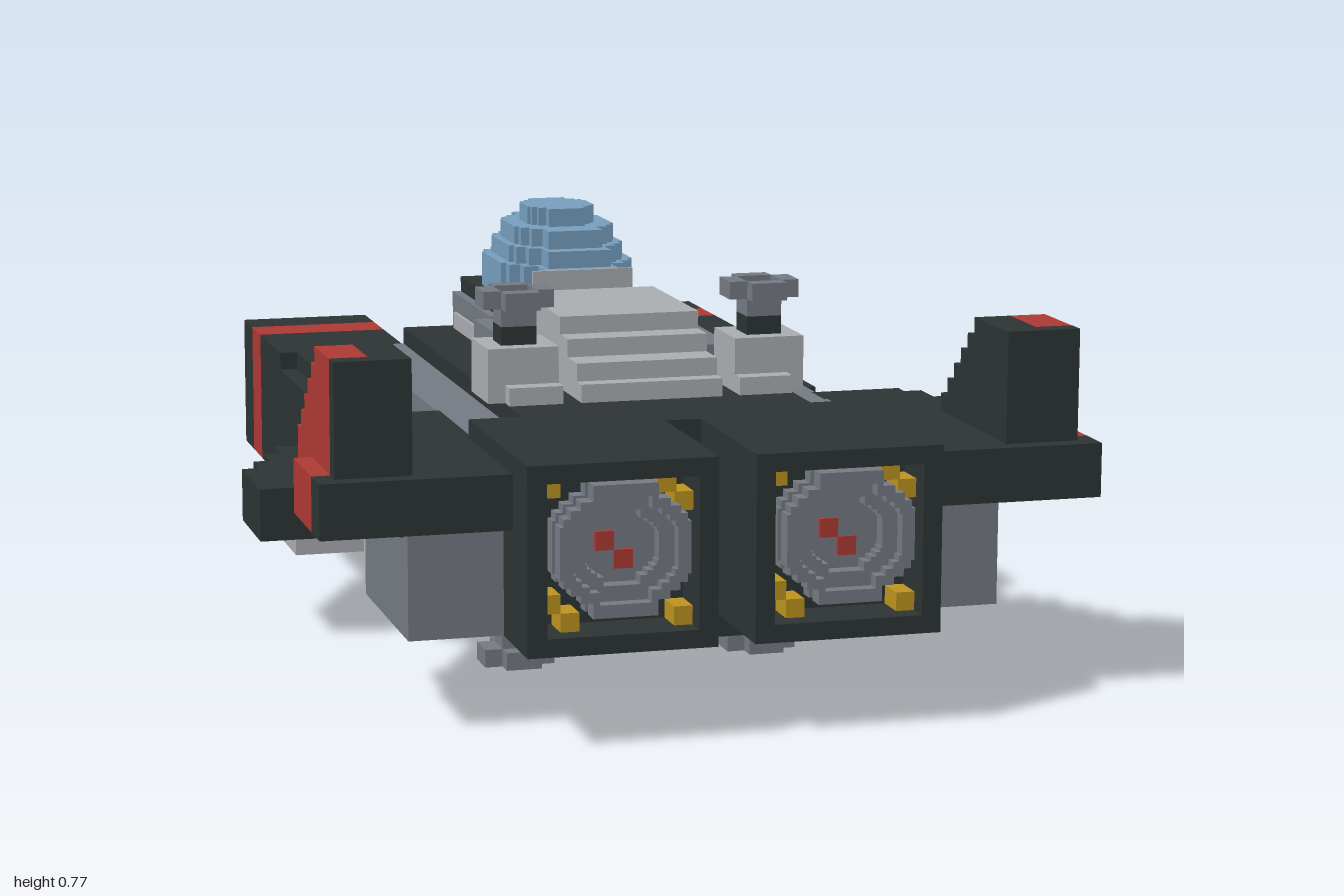
import * as THREE from 'three';

const mat = (name, color) => Object.assign(new THREE.MeshStandardMaterial({ color }), { name });

export function createModel() {
  const dark = mat('dark hull', 0x2d3534), red = mat('red trim', 0xb13a34), blue = mat('canopy blue', 0x78a1c2);
  const grey = mat('mid grey', 0x777d85), light = mat('light grey', 0xadb0b4), gold = mat('gold', 0xc0961f);
  const root = new THREE.Group();
  root.name = 'starfighter';

  // Box given by its limits on each axis
  function box(name, m, x0, x1, y0, y1, z0, z1, parent = root) {
    const mesh = new THREE.Mesh(new THREE.BoxGeometry(Math.abs(x1 - x0), y1 - y0, z1 - z0), m);
    mesh.position.set((x0 + x1) / 2, (y0 + y1) / 2, (z0 + z1) / 2);
    mesh.name = name;
    parent.add(mesh);
    return mesh;
  }
  const pair = (name, m, x0, x1, ...r) => [1, -1].forEach(s => box(name, m, s * x0, s * x1, ...r));

  const toShape = pts => new THREE.Shape(pts.map(p => new THREE.Vector2(p[0], p[1])));
  const extrude = (shape, depth) => new THREE.ExtrudeGeometry(shape, { depth, bevelEnabled: false });

  // Horizontal plate from an outline of x, z points
  function slab(name, m, pts, y0, y1) {
    const g = extrude(toShape(pts), y1 - y0).rotateX(Math.PI / 2).translate(0, y1, 0);
    const mesh = new THREE.Mesh(g, m);
    mesh.name = name;
    root.add(mesh);
  }

  // Staircase ellipse outline
  function stepOval(rx, ry, n, cx = 0, cy = 0) {
    const q = [];
    for (let i = 0; i < n; i++) {
      const x = rx * (1 - 0.72 * (i / n) ** 1.6), y0 = ry * (0.4 + 0.6 * (i / n));
      const yPrev = i ? ry * (0.4 + 0.6 * ((i - 1) / n)) : 0;
      if (i) q.push([x, yPrev]);
      q.push([x, i === n - 1 ? ry : y0]);
    }
    const all = [...q, ...[...q].reverse().map(p => [-p[0], p[1]]),
      ...q.map(p => [-p[0], -p[1]]), ...[...q].reverse().map(p => [p[0], -p[1]])];
    return all.map(p => [p[0] + cx, p[1] + cy]);
  }

  // Main hull
  box('hull', grey, -0.367, 0.367, 0.17, 0.467, -0.433, 0.567);
  box('hullDeck', dark, -0.27, 0.27, 0.467, 0.5, -0.433, 0.567);
  box('bellyPlate', dark, -0.267, 0.267, 0.1, 0.17, -0.433, 0.667);
  box('engineBridge', dark, -0.367, 0.367, 0.17, 0.5, 0.567, 0.667);
  pair('noseBlock', grey, 0.17, 0.267, 0.2, 0.435, -0.6, -0.433);

  // Spine with a stepped tail
  box('spineBase', grey, -0.2, 0.2, 0.5, 0.567, -0.1, 0.3);
  [[0.5, 0.467], [0.533, 0.433], [0.567, 0.367], [0.6, 0.31]].forEach(([y, z]) =>
    box('spineStep', light, -0.133, 0.133, y, y + 0.0335, 0, z));

  // Cockpit and canopy
  box('cockpitBase', grey, -0.167, 0.167, 0.5, 0.57, -0.433, -0.1);
  pair('cockpitSidePanel', light, 0.167, 0.173, 0.5, 0.533, -0.4, -0.133);
  box('cockpitCollar', dark, -0.15, 0.15, 0.57, 0.6, -0.433, -0.03);
  [[0.6, 0.667, 0.133, 0.2], [0.667, 0.7, 0.115, 0.183], [0.7, 0.735, 0.1, 0.15], [0.735, 0.77, 0.067, 0.085]]
    .forEach(([y0, y1, rx, rz]) => slab('canopy', blue, stepOval(rx, rz, 4, 0, -0.235), y0, y1));
  box('canopyBackPanel', light, -0.1, 0.1, 0.6, 0.667, -0.035, -0.028);

  // Twin engines with recessed nozzles
  for (const cx of [-0.2, 0.2]) {
    const engine = new THREE.Group();
    engine.name = 'engine';
    engine.position.set(cx, 0.335, 0);
    root.add(engine);
    box('engineBody', dark, -0.167, 0.167, -0.165, 0.165, 0.667, 0.9, engine);
    const frame = toShape([[-0.167, -0.165], [0.167, -0.165], [0.167, 0.165], [-0.167, 0.165]]);
    frame.holes.push(new THREE.Path([[-0.133, -0.133], [-0.133, 0.133], [0.133, 0.133], [0.133, -0.133]]
      .map(p => new THREE.Vector2(...p))));
    const rim = new THREE.Mesh(extrude(frame, 0.1).translate(0, 0, 0.9), dark);
    rim.name = 'engineFrame';
    engine.add(rim);
    // Stepped bowl: wide ring in front, narrower rings behind
    [[0.115, 0.092, 0.95, 0.985], [0.092, 0.065, 0.925, 0.96], [0.115, 0, 0.9, 0.93]].forEach(([r, hole, z0, z1]) => {
      const s = toShape(stepOval(r, r, 5, 0.008, 0.008));
      if (hole) s.holes.push(new THREE.Path(stepOval(hole, hole, 5, 0.008, 0.008).map(p => new THREE.Vector2(...p))));
      const ring = new THREE.Mesh(extrude(s, z1 - z0).translate(0, 0, z0), grey);
      ring.name = 'nozzleRing';
      engine.add(ring);
    });
    [[-0.033, 0], [0, -0.033]].forEach(([x, y]) => box('nozzleGlow', red, x, x + 0.033, y, y + 0.033, 0.93, 0.938, engine));
    [[-0.133, 0.1], [0.07, 0.1], [0.1, 0.067], [-0.133, -0.1], [-0.1, -0.133], [0.1, -0.133]].forEach(([x, y]) =>
      box('nozzleClamp', gold, x, x + 0.033, y, y + 0.033, 0.9, 0.96, engine));
  }

  for (const s of [1, -1]) {
    const b = (name, m, x0, x1, ...r) => box(name, m, s * x0, s * x1, ...r);

    // Front prong with red band and square muzzle
    b('prong', dark, 0.235, 0.5, 0.17, 0.435, -0.8, -0.567);
    b('prongBase', dark, 0.235, 0.5, 0.17, 0.4, -0.567, -0.1);
    b('prongTop', dark, 0.235, 0.465, 0.4, 0.435, -0.567, -0.1);
    b('prongBand', red, 0.235, 0.5, 0.17, 0.435, -0.9, -0.8);
    const sq = h => [[-h, -h], [h, -h], [h, h], [-h, h]];
    const face = toShape(sq(0.1325));
    face.holes.push(new THREE.Path(sq(0.055).map(p => new THREE.Vector2(...p))));
    const muzzle = new THREE.Mesh(extrude(face, 0.1).translate(s * 0.3675, 0.3025, -1), dark);
    muzzle.name = 'muzzle';
    root.add(muzzle);
    b('muzzleCore', dark, 0.3375, 0.3975, 0.2725, 0.3325, -0.96, -0.9);

    // Forward winglet
    slab('forwardWing', dark, [[0.36, 0.13], [0.667, 0.13], [0.667, -0.067], [0.633, -0.067], [0.633, -0.133],
      [0.6, -0.133], [0.6, -0.2], [0.567, -0.2], [0.567, -0.267], [0.36, -0.267]].map(p => [s * p[0], p[1]]), 0.2, 0.3);
    b('wingletPad', light, 0.47, 0.6, 0.17, 0.2, 0, 0.13);

    // Rear wing with stepped leading edge
    slab('rearWing', dark, [[0.36, 0.9], [0.7, 0.9], [0.7, 0.83], [0.6, 0.83], [0.6, 0.533], [0.633, 0.533], [0.633, 0.467],
      [0.6, 0.467], [0.6, 0.4], [0.567, 0.4], [0.567, 0.333], [0.533, 0.333], [0.533, 0.3], [0.36, 0.3]]
      .map(p => [s * p[0], p[1]]), 0.37, 0.467);
    b('wingTip', red, 0.6, 0.667, 0.37, 0.467, 0.533, 0.83);
    b('wingTipOuter', red, 0.667, 0.7, 0.37, 0.467, 0.667, 0.83);

    // Tail fin, red outside and dark inside
    for (let i = 0; i < 6; i++) {
      const z = 0.533 + i * 0.0333, end = i === 5 ? 0.83 : z + 0.0333, top = 0.5 + i * 0.0333;
      b('finOuter', red, 0.6, 0.667, 0.467, top, z, end);
      b('finInner', dark, 0.533, 0.6, 0.467, top, z, end);
    }
    b('finRear', dark, 0.533, 0.667, 0.467, 0.667, 0.83, 0.867);

    // Pod under the rear wing
    b('wingPod', grey, 0.367, 0.535, 0.17, 0.37, 0.467, 0.83);
    [0.783, 0.68, 0.58, 0.48].forEach(z => b('podVent', dark, 0.535, 0.541, 0.345, 0.37, z - 0.013, z + 0.013));
  }

  // Small thruster pointing along +y: block, neck, stem and cross-shaped cap
  function thruster(x, y, z, block, rx, rz) {
    const g = new THREE.Group();
    g.name = 'thruster';
    g.position.set(x, y, z);
    g.rotation.set(rx, 0, rz);
    root.add(g);
    box('thrusterBlock', light, -0.066, 0.066, 0, block, -0.066, 0.066, g);
    box('thrusterNeck', dark, -0.033, 0.033, block, block + 0.034, -0.033, 0.033, g);
    box('thrusterStem', grey, -0.033, 0.033, block + 0.034, block + 0.067, -0.033, 0.033, g);
    for (let k = 0; k < 4; k++) {
      const arm = new THREE.Group();
      arm.rotation.y = k * Math.PI / 2;
      g.add(arm);
      box('thrusterCap', grey, -0.033, 0.033, block + 0.067, block + 0.1, 0.033, 0.066, arm);
    }
  }
  const h = Math.PI / 2;
  for (const s of [1, -1]) {
    thruster(s * 0.233, 0.5, 0.367, 0.1, 0, 0);
    thruster(s * 0.233, 0.17, 0.367, 0.07, Math.PI, 0);
    thruster(s * 0.367, 0.335, 0.233, 0.067, 0, -s * h);
    thruster(s * 0.1, 0.335, -0.433, 0.1, -h, 0);
    box('thrusterFoot', light, s * 0.167, s * 0.267, 0.5, 0.533, 0.433, 0.467);
  }
  return root;
}
